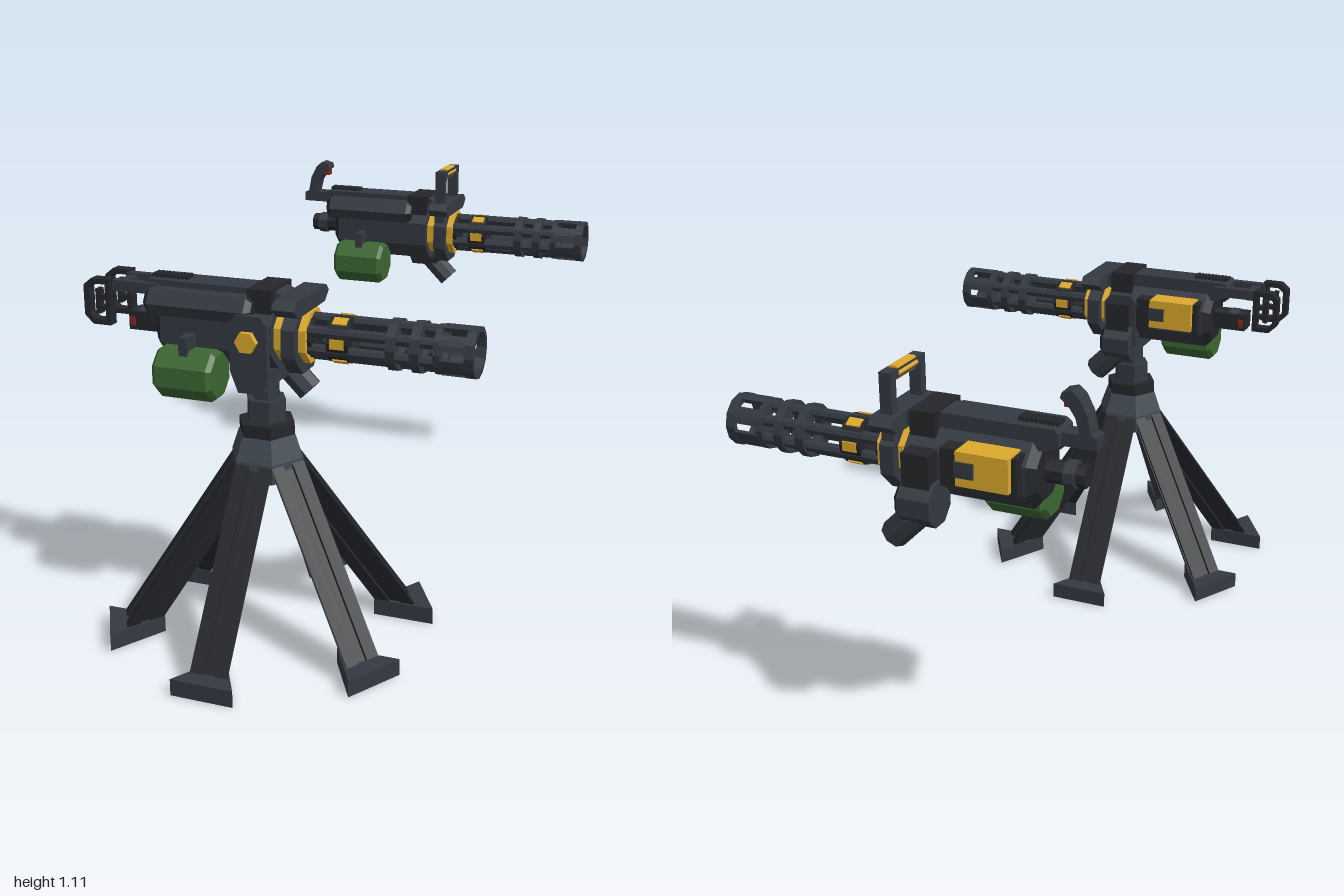
import * as THREE from 'three';

const mat = (color) => new THREE.MeshStandardMaterial({ color, flatShading: true });
const DARK = mat(0x24262a), GREY = mat(0x343941), LIGHT = mat(0x434a53);
const GOLD = mat(0xdca92c), GREEN = mat(0x3c6632), RED = mat(0x8a2420);
const AXIS = 0.885; // height of the barrel axis

function add(parent, name, geo, material) {
  const m = new THREE.Mesh(geo, material);
  m.name = name;
  parent.add(m);
  return m;
}

// Box given by its limits on each axis
function box(parent, name, material, [x0, x1], [y0, y1], [z0, z1]) {
  const g = new THREE.BoxGeometry(x1 - x0, y1 - y0, z1 - z0);
  g.translate((x0 + x1) / 2, (y0 + y1) / 2, (z0 + z1) / 2);
  return add(parent, name, g, material);
}

// Prism or cylinder lying along x, with optional front radius
function rod(parent, name, material, r, x0, x1, y = AXIS, z = 0, sides = 12, turn = 0, rFront = r) {
  const g = new THREE.CylinderGeometry(rFront, r, x1 - x0, sides);
  g.rotateY(turn).rotateZ(-Math.PI / 2).translate((x0 + x1) / 2, y, z);
  return add(parent, name, g, material);
}

const toShape = (pts) => new THREE.Shape(pts.map((p) => new THREE.Vector2(p[0], p[1])));

// Outline in x,y extruded from z0 to z1
function slab(parent, name, material, pts, z0, z1, holes = []) {
  const s = toShape(pts);
  holes.forEach((h) => s.holes.push(toShape(h)));
  const g = new THREE.ExtrudeGeometry(s, { depth: z1 - z0, bevelEnabled: false });
  return add(parent, name, g.translate(0, 0, z0), material);
}

// Curved wall around the barrel axis, from angle a0 to a1
function arc(parent, name, material, rOut, rIn, x0, x1, a0 = 0, a1 = Math.PI * 2, steps = 12) {
  const s = new THREE.Shape();
  const at = (r, a) => new THREE.Vector2(r * Math.cos(a), r * Math.sin(a));
  const edge = (r) => Array.from({ length: steps + 1 }, (_, i) => at(r, a0 + ((a1 - a0) * i) / steps));
  if (a1 - a0 > 6.28) {
    s.setFromPoints(edge(rOut).slice(0, -1));
    s.holes.push(new THREE.Path(edge(rIn).slice(0, -1)));
  } else s.setFromPoints([...edge(rOut), ...edge(rIn).reverse()]);
  const g = new THREE.ExtrudeGeometry(s, { depth: x1 - x0, bevelEnabled: false });
  g.rotateY(Math.PI / 2).translate(x0, AXIS, 0);
  return add(parent, name, g, material);
}

function barrels(gun) {
  for (let i = 0; i < 6; i++) {
    const a = Math.PI / 6 + (i * Math.PI) / 3;
    rod(gun, 'barrel', GREY, 0.016, 0.09, 0.46, AXIS + 0.05 * Math.sin(a), 0.05 * Math.cos(a), 8);
    // bars between the muzzle windows
    arc(gun, 'muzzleBar', GREY, 0.068, 0.056, 0.46, 0.535, a - 0.34, a + 0.34, 3);
    // gold insets on the barrel clamp
    const b = a + Math.PI / 6;
    const inset = box(gun, 'clampInset', GOLD, [0.165, 0.205], [-0.013, 0.013], [0.056, 0.066]);
    inset.rotation.x = -b;
    inset.position.y = AXIS;
  }
  arc(gun, 'barrelClamp', DARK, 0.065, 0.03, 0.155, 0.215);
  arc(gun, 'barrelBand', GREY, 0.071, 0.032, 0.32, 0.345);
  arc(gun, 'barrelBand', GREY, 0.071, 0.032, 0.385, 0.41);
  arc(gun, 'muzzleRing', GREY, 0.068, 0.032, 0.447, 0.465);
  arc(gun, 'muzzleRing', GREY, 0.07, 0.056, 0.53, 0.555);
}

function makeGun() {
  const gun = new THREE.Group();
  const flat = Math.PI / 8;
  barrels(gun);

  // front housing
  rod(gun, 'frontHousing', GOLD, 0.076, 0.0, 0.1, AXIS, 0, 8, flat);
  rod(gun, 'housingCap', DARK, 0.06, 0.1, 0.112);
  rod(gun, 'housingRing', GREY, 0.102, 0.04, 0.08, AXIS - 0.005, 0, 8, flat);
  // wide top plate with chamfered ends
  const top = toShape([[-0.095, 0.955], [0.095, 0.955], [0.125, 0.98], [0.105, 1.0], [-0.105, 1.0], [-0.125, 0.98]]);
  const plate = new THREE.ExtrudeGeometry(top, { depth: 0.065, bevelEnabled: false });
  add(gun, 'topPlate', plate.rotateY(Math.PI / 2).translate(0.027, 0, 0), GREY);

  // receiver
  rod(gun, 'receiver', GREY, 0.1, -0.315, 0.01, AXIS, 0, 8, flat);
  rod(gun, 'receiverRear', DARK, 0.075, -0.335, -0.315, AXIS, 0, 8, flat, 0.1);
  rod(gun, 'rearMotor', DARK, 0.03, -0.44, -0.33, AXIS, 0, 8, flat);
  rod(gun, 'rearMotorBand', GREY, 0.036, -0.415, -0.385, AXIS, 0, 8, flat);
  slab(gun, 'topCover', GREY, [[-0.38, 0.965], [-0.3, 0.94], [0, 0.94], [0.04, 0.975], [0.04, 0.99], [0, 1.01], [-0.37, 1.01], [-0.38, 1.0]], -0.045, 0.045);
  box(gun, 'topBlock', DARK, [-0.065, 0.005], [0.95, 1.015], [-0.07, 0.07]);
  for (let i = 0; i < 10; i++)
    box(gun, 'railTooth', DARK, [-0.37 + i * 0.011, -0.363 + i * 0.011], [1.008, 1.02], [-0.02, 0.02]);

  // left side canister
  rod(gun, 'sideCanister', GREY, 0.042, -0.345, -0.06, 0.958, 0.07, 6, 0);
  rod(gun, 'canisterEnd', DARK, 0.028, -0.36, -0.345, 0.958, 0.07, 6, 0, 0.042);
  rod(gun, 'canisterEnd', DARK, 0.042, -0.06, -0.045, 0.958, 0.07, 6, 0, 0.026);

  // ammunition drum and its bracket
  rod(gun, 'ammoDrum', GREEN, 0.074, -0.295, -0.145, 0.778, 0.105, 8, flat);
  rod(gun, 'drumEnd', GREEN, 0.062, -0.307, -0.295, 0.778, 0.105, 8, flat, 0.074);
  rod(gun, 'drumEnd', GREEN, 0.074, -0.145, -0.133, 0.778, 0.105, 8, flat, 0.062);
  box(gun, 'drumBracket', GREY, [-0.232, -0.208], [0.835, 0.885], [0.08, 0.15]);

  // right side gold feed box in a dark frame
  box(gun, 'feedBox', GOLD, [-0.29, -0.15], [0.865, 0.955], [-0.135, -0.05]);
  box(gun, 'feedFrame', DARK, [-0.305, -0.29], [0.85, 0.95], [-0.118, -0.05]);
  box(gun, 'feedFrame', DARK, [-0.15, -0.1], [0.85, 0.95], [-0.118, -0.05]);
  box(gun, 'feedLatch', GREY, [-0.2, -0.15], [0.89, 0.93], [-0.142, -0.12]);

  // drive motor slung under the right side
  rod(gun, 'driveMotor', GREY, 0.062, -0.09, 0.0, 0.795, -0.105, 8, flat);
  rod(gun, 'driveMotorCap', DARK, 0.062, 0.0, 0.015, 0.795, -0.105, 8, flat, 0.042);
  box(gun, 'motorArm', DARK, [-0.08, -0.005], [0.8, 0.93], [-0.14, -0.06]);
  const nozzle = add(gun, 'motorNozzle', new THREE.CylinderGeometry(0.038, 0.038, 0.13, 8), GREY);
  nozzle.position.set(-0.005, 0.735, -0.11);
  nozzle.rotation.z = Math.PI / 4;
  return gun;
}

// Grips of the hand-carried gun
function carryGrips(gun) {
  for (const s of [-1, 1])
    box(gun, 'carryPost', GREY, [0.042, 0.075], [0.93, 1.105], [s * 0.075 - 0.013, s * 0.075 + 0.013]);
  box(gun, 'carryBar', GREY, [0.042, 0.075], [1.085, 1.108], [-0.088, 0.088]);
  rod(gun, 'carryGrip', GOLD, 0.02, -0.047, 0.047, 0, 0, 6).rotation.y = Math.PI / 2;
  gun.children.at(-1).position.set(0.058, 1.096, 0);
  slab(gun, 'rearGrip', GREY, [[-0.47, 0.965], [-0.36, 0.965], [-0.36, 0.998], [-0.425, 1.0], [-0.415, 1.04],
    [-0.395, 1.07], [-0.375, 1.085], [-0.38, 1.1], [-0.405, 1.107], [-0.425, 1.09], [-0.445, 1.05], [-0.455, 1.0], [-0.47, 0.995]], -0.025, 0.025);
  box(gun, 'trigger', RED, [-0.4, -0.38], [1.06, 1.078], [-0.012, 0.012]);
}

// Twin spade handles and side plate of the mounted gun
function mountFittings(gun) {
  for (const s of [-1, 1]) {
    const z = s * 0.06;
    slab(gun, 'spadeHandle', DARK,
      [[-0.555, 0.9], [-0.53, 0.875], [-0.475, 0.875], [-0.475, 1.005], [-0.53, 1.005], [-0.555, 0.985]],
      z - 0.016, z + 0.016, [[[-0.54, 0.907], [-0.525, 0.89], [-0.489, 0.89], [-0.489, 0.99], [-0.525, 0.99], [-0.54, 0.977]]]);
    box(gun, 'handleBar', DARK, [-0.521, -0.508], [0.905, 0.975], [z - 0.012, z + 0.012]);
    box(gun, 'handleBridge', DARK, [-0.515, -0.48], [0.945, 0.958], [z - 0.012, z + 0.012]);
    box(gun, 'handleBridge', DARK, [-0.515, -0.48], [0.915, 0.928], [z - 0.012, z + 0.012]);
    box(gun, 'handleArm', GREY, [-0.48, -0.34], [0.97, 1.0], [s * 0.045 - 0.012, s * 0.045 + 0.012]);
    // yoke cheek
    slab(gun, 'yokeCheek', GREY, [[-0.075, 0.74], [-0.01, 0.74], [0.01, 0.8], [0.01, 0.93], [-0.01, 0.955], [-0.08, 0.955], [-0.098, 0.93], [-0.098, 0.8]],
      s * 0.108 - 0.01, s * 0.108 + 0.01);
    const bolt = add(gun, 'yokeBolt', new THREE.CylinderGeometry(0.031, 0.031, 0.025, 6), GOLD);
    bolt.geometry.rotateY(Math.PI / 6).rotateX(Math.PI / 2);
    bolt.position.set(-0.045, AXIS, s * 0.122);
  }
  box(gun, 'handleCrossbar', GREY, [-0.47, -0.445], [0.97, 0.995], [-0.06, 0.06]);
  box(gun, 'rearBox', DARK, [-0.44, -0.33], [0.858, 0.91], [-0.035, 0.035]);
  box(gun, 'trigger', RED, [-0.435, -0.42], [0.87, 0.895], [-0.039, 0.039]);
  box(gun, 'yokeBase', GREY, [-0.075, -0.01], [0.74, 0.79], [-0.1, 0.1]);
}

// Triangular leg section with a groove along each face
function legShape() {
  const c = [[0.055, 0.03], [-0.055, 0.03], [0, -0.06]].map((p) => new THREE.Vector2(...p));
  const pts = [];
  c.forEach((a, i) => {
    const b = c[(i + 1) % 3], d = b.clone().sub(a);
    const inward = new THREE.Vector2(-d.y, d.x).setLength(0.008);
    const l = a.clone().addScaledVector(d, 0.36), r = a.clone().addScaledVector(d, 0.64);
    pts.push(a, l, l.clone().add(inward), r.clone().add(inward), r);
  });
  return new THREE.Shape(pts);
}

function makeStand() {
  const stand = new THREE.Group();
  const start = new THREE.Vector3(0, 0.53, 0.052), end = new THREE.Vector3(0, 0.034, 0.388);
  const dir = end.clone().sub(start), length = dir.length();
  dir.normalize();
  const out = new THREE.Vector3(0, dir.z, -dir.y);
  const legGeo = new THREE.ExtrudeGeometry(legShape(), { depth: length, bevelEnabled: false });
  legGeo.applyMatrix4(new THREE.Matrix4().makeBasis(new THREE.Vector3(1, 0, 0), out, dir).setPosition(start));
  const footGeo = new THREE.CylinderGeometry(0.104, 0.104, 0.048, 3).rotateY(Math.PI).translate(0, 0.024, 0.408);
  for (let i = 0; i < 6; i++) {
    const leg = new THREE.Group();
    leg.name = 'standLeg';
    add(leg, 'leg', legGeo, DARK);
    add(leg, 'foot', footGeo, GREY);
    leg.rotation.y = (i * Math.PI) / 3;
    stand.add(leg);
  }
  // six-sided hub, collar and post stacked upwards: [bottom y, top y, bottom r, top r]
  [[0.47, 0.5, 0.098, 0.108], [0.5, 0.53, 0.108, 0.108], [0.53, 0.595, 0.108, 0.085], [0.592, 0.632, 0.083, 0.083],
    [0.632, 0.695, 0.058, 0.058], [0.695, 0.8, 0.04, 0.04]].forEach(([y0, y1, r0, r1], i) => {
    const g = new THREE.CylinderGeometry(r1, r0, y1 - y0, 6).rotateY(Math.PI / 6).translate(0, (y0 + y1) / 2, 0);
    add(stand, i < 3 ? 'hub' : 'post', g, i === 3 ? DARK : i < 3 ? LIGHT : GREY);
  });
  return stand;
}

export function createModel() {
  const model = new THREE.Group();
  const mounted = makeGun(), carried = makeGun(), stand = makeStand();
  mountFittings(mounted);
  carryGrips(carried);
  mounted.name = 'mountedGun';
  carried.name = 'carriedGun';
  stand.name = 'stand';
  mounted.position.z = 0.54;
  carried.position.z = -0.83;
  stand.position.set(-0.045, 0, 0.54);
  model.add(mounted, carried, stand);
  return model;
}
